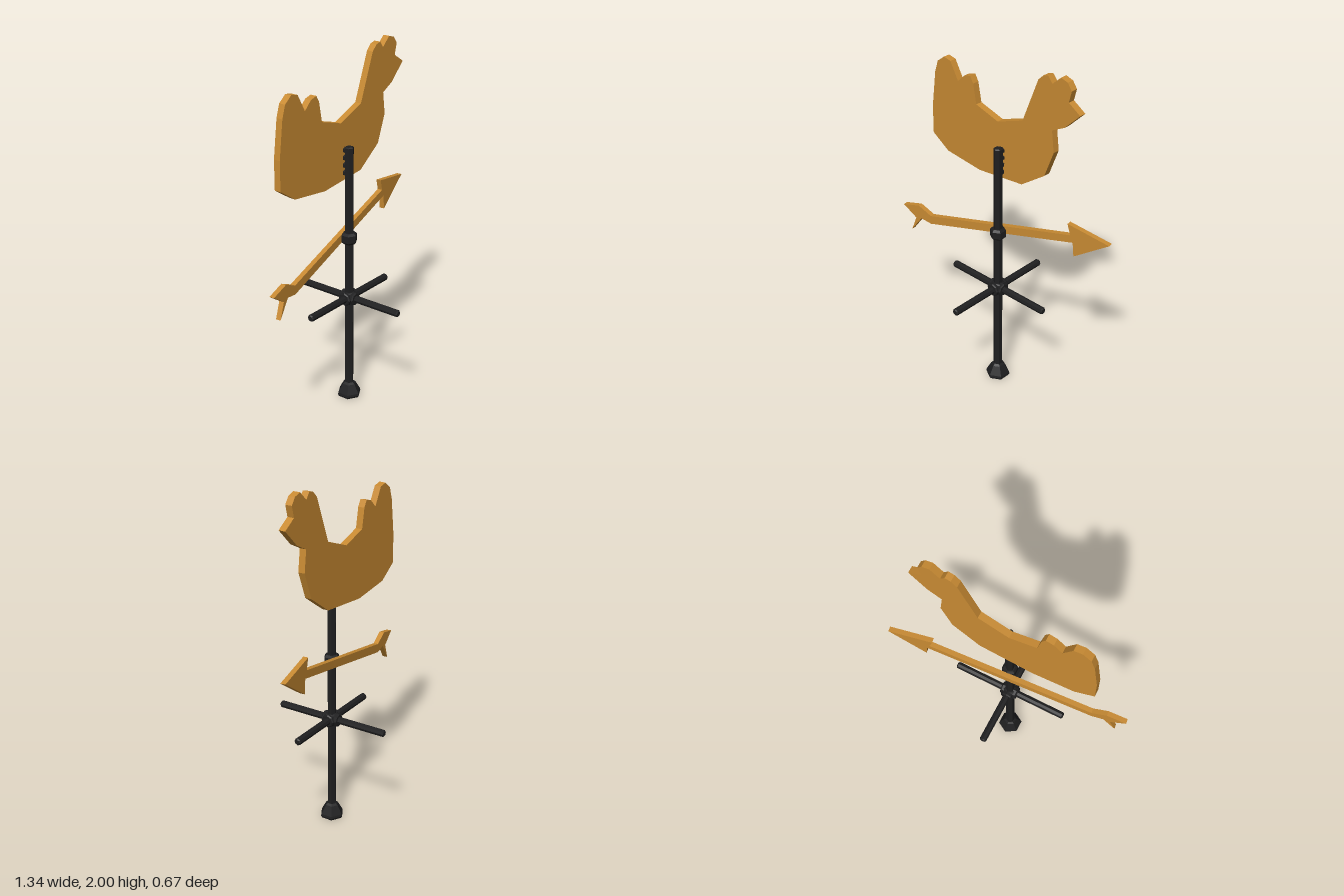
import * as THREE from 'three';

const POLE_X = 0.013;

// Faceted turned part: profile of [radius, y] pairs, bottom to top
function turned(profile, sides) {
  const g = new THREE.LatheGeometry(profile.map(([r, y]) => new THREE.Vector2(r, y)), sides).toNonIndexed();
  g.computeVertexNormals();
  return g;
}

// Rod along y with chamfered ends, centred on the origin
function rod(radius, length, sides, bevel = 0.006) {
  const h = length / 2;
  return turned([[0, -h], [radius - bevel, -h], [radius, bevel - h], [radius, h - bevel], [radius - bevel, h], [0, h]], sides);
}

// Flat plate cut from an outline, centred on z = 0
function plate(points, depth) {
  const shape = new THREE.Shape(points.map(([x, y]) => new THREE.Vector2(x, y)));
  return new THREE.ExtrudeGeometry(shape, { depth, bevelEnabled: false }).translate(0, 0, -depth / 2);
}

export function createModel() {
  const model = new THREE.Group();
  const iron = new THREE.MeshStandardMaterial({ color: 0x1f1f20 });
  iron.name = 'black iron';
  const gold = new THREE.MeshStandardMaterial({ color: 0xc98b33 });
  gold.name = 'golden brass';

  const add = (name, geometry, material, x, y, z) => {
    const mesh = new THREE.Mesh(geometry, material);
    mesh.name = name;
    mesh.position.set(x, y, z);
    model.add(mesh);
    return mesh;
  };

  // Foot, pole and the collar that carries the arrow
  add('foot', turned([[0, 0], [0.062, 0], [0.069, 0.012], [0.066, 0.024], [0.038, 0.075], [0.026, 0.085], [0, 0.085]], 6), iron, POLE_X, 0, 0);
  add('pole', rod(0.025, 1.47, 6), iron, POLE_X, 0.755, 0);
  add('arrowCollar', rod(0.044, 0.064, 6, 0.012), iron, POLE_X, 0.972, 0);

  // Crossed direction bars, each with a short sleeve at the hub
  add('hub', rod(0.042, 0.07, 6, 0.01), iron, POLE_X, 0.617, 0);
  for (const [name, axis] of [['sideBar', 'z'], ['depthBar', 'x']]) {
    add(name, rod(0.02, 0.672, 8), iron, POLE_X, 0.617, 0).rotation[axis] = Math.PI / 2;
    add(name + 'Sleeve', rod(0.038, 0.096, 8), iron, POLE_X, 0.617, 0).rotation[axis] = Math.PI / 2;
  }

  // Small pins fixing the rooster to the pole
  for (let i = 0; i < 4; i++) {
    add('roosterPin', rod(0.017, 0.04, 6, 0.004), iron, POLE_X, 1.34 + i * 0.042, -0.02).rotation.x = Math.PI / 2;
  }

  // Rooster silhouette, clockwise from the lower tail
  const rooster = [
    [-0.5, 1.383], [-0.5, 1.547], [-0.474, 1.754], [-0.452, 1.823], [-0.405, 1.86], [-0.357, 1.85],
    [-0.304, 1.754], [-0.257, 1.8], [-0.214, 1.812], [-0.193, 1.775], [-0.172, 1.664], [-0.019, 1.619],
    [0.151, 1.685], [0.251, 1.944], [0.283, 1.976], [0.315, 1.984], [0.341, 1.95], [0.394, 2],
    [0.437, 1.987], [0.463, 1.95], [0.447, 1.886], [0.521, 1.839], [0.426, 1.743], [0.347, 1.701],
    [0.362, 1.579], [0.304, 1.426], [0.151, 1.315], [-0.151, 1.283], [-0.389, 1.31],
  ];
  add('rooster', plate(rooster, 0.038), gold, 0, 0, -0.05);

  // Wind arrow, turned slightly about the pole
  const turn = Math.atan(0.141);
  const arrow = [
    [-0.672, 0.892], [-0.563, 0.92], [-0.479, 0.881], [0.433, 1.098], [0.415, 1.161], [0.664, 1.119],
    [0.458, 0.976], [0.45, 1.058], [-0.479, 0.83], [-0.548, 0.841], [-0.619, 0.743], [-0.585, 0.833],
  ].map(([x, y]) => [x / Math.cos(turn), y]);
  add('windArrow', plate(arrow, 0.028), gold, 0, 0, -0.048).rotation.y = turn;

  return model;
}
